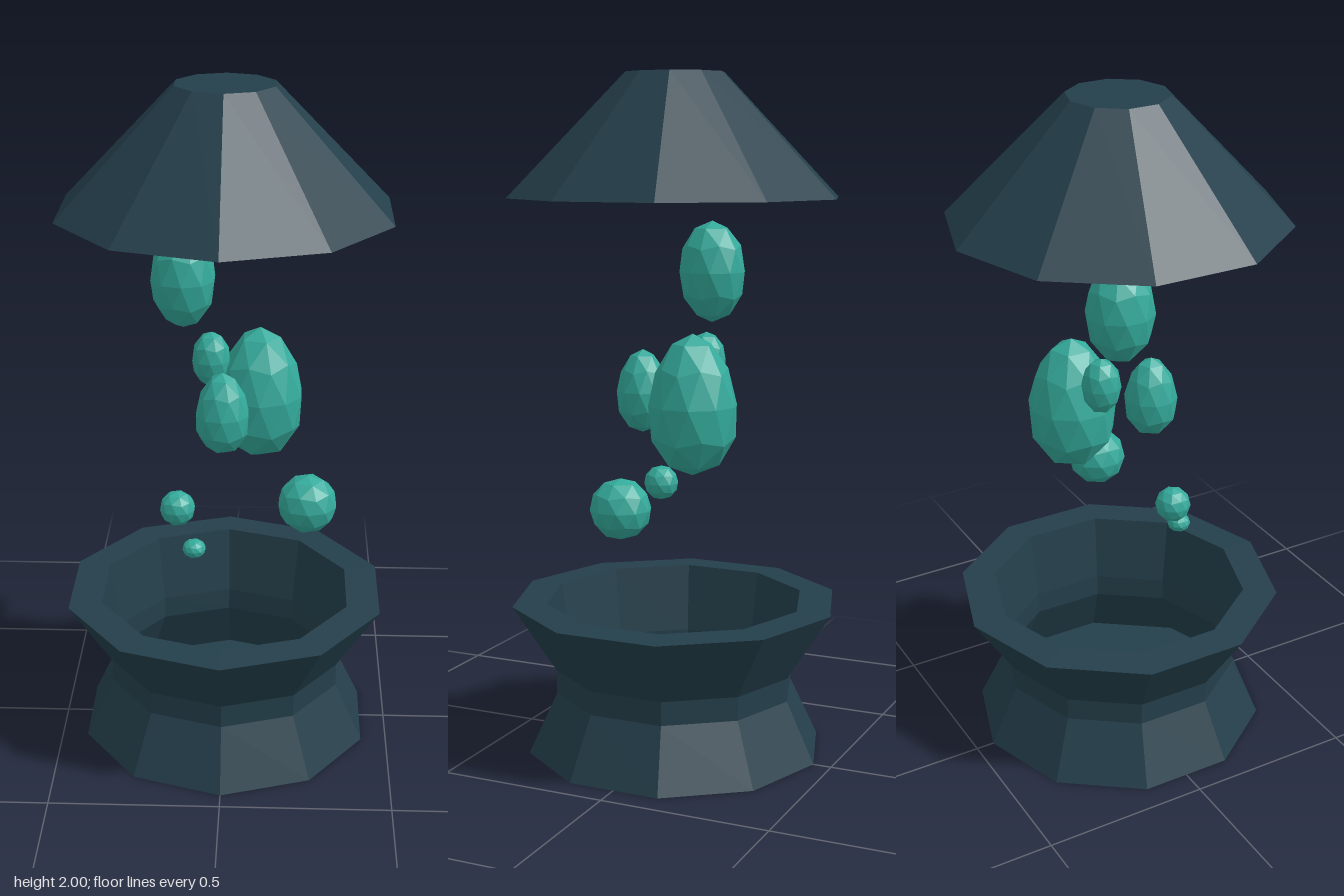
import * as THREE from 'three';

const SIDES = 10;

export function createModel() {
  const group = new THREE.Group();
  const darkSlate = new THREE.MeshStandardMaterial({ color: 0x243f4b });
  const teal = new THREE.MeshStandardMaterial({ color: 0x34ab9c });
  darkSlate.name = 'dark slate';
  teal.name = 'teal wax';
  darkSlate.flatShading = teal.flatShading = true;

  const add = (name, geometry, material) => {
    const mesh = new THREE.Mesh(geometry, material);
    mesh.name = name;
    group.add(mesh);
    return mesh;
  };

  // Ten-sided turned part, profile given as [radius, height]
  const turned = (name, profile) =>
    add(name, new THREE.LatheGeometry(profile.map(p => new THREE.Vector2(...p)), SIDES), darkSlate);

  // Hollow waisted base: outer wall going up, rim, inner wall going down
  turned('base', [
    [0, 0], [0.445, 0], [0.36, 0.18], [0.36, 0.25], [0.49, 0.452],
    [0.387, 0.456], [0.355, 0.25], [0.355, 0.18], [0.435, 0.01], [0, 0.01],
  ]);

  // Hollow cone cap: inner wall going down, rim, outer wall going up
  turned('cap', [
    [0, 1.97], [0.13, 1.97], [0.38, 1.645], [0.49, 1.645], [0.145, 2], [0, 2],
  ]);

  // Faceted wax drop; taper narrows the top into an egg
  const blob = (name, position, radii, taper = 0) => {
    const geometry = new THREE.IcosahedronGeometry(1, 1);
    geometry.rotateZ(-0.5536); // a corner at each pole
    const p = geometry.attributes.position;
    for (let i = 0; i < p.count; i++) {
      const y = p.getY(i), s = 1 - taper * y;
      p.setXYZ(i, p.getX(i) * s * radii[0], y * radii[1], p.getZ(i) * s * radii[2]);
    }
    geometry.computeVertexNormals();
    add(name, geometry, teal).position.set(...position);
  };

  blob('topBlob', [-0.125, 1.425, -0.063], [0.097, 0.15, 0.1]);
  blob('smallUpperBlob', [-0.045, 1.17, -0.08], [0.058, 0.085, 0.058]);
  blob('frontBlob', [-0.005, 1.075, 0.108], [0.079, 0.124, 0.079], 0.15);
  blob('largeBlob', [0.1, 1.06, -0.1], [0.13, 0.205, 0.13], 0.15);
  blob('lowerBlob', [0.245, 0.77, 0.06], [0.089, 0.089, 0.089]);
  blob('smallLowerBlob', [-0.137, 0.772, 0.11], [0.053, 0.053, 0.053]);
  blob('tinyBlob', [-0.086, 0.667, 0.163], [0.035, 0.028, 0.035]);

  return group;
}
